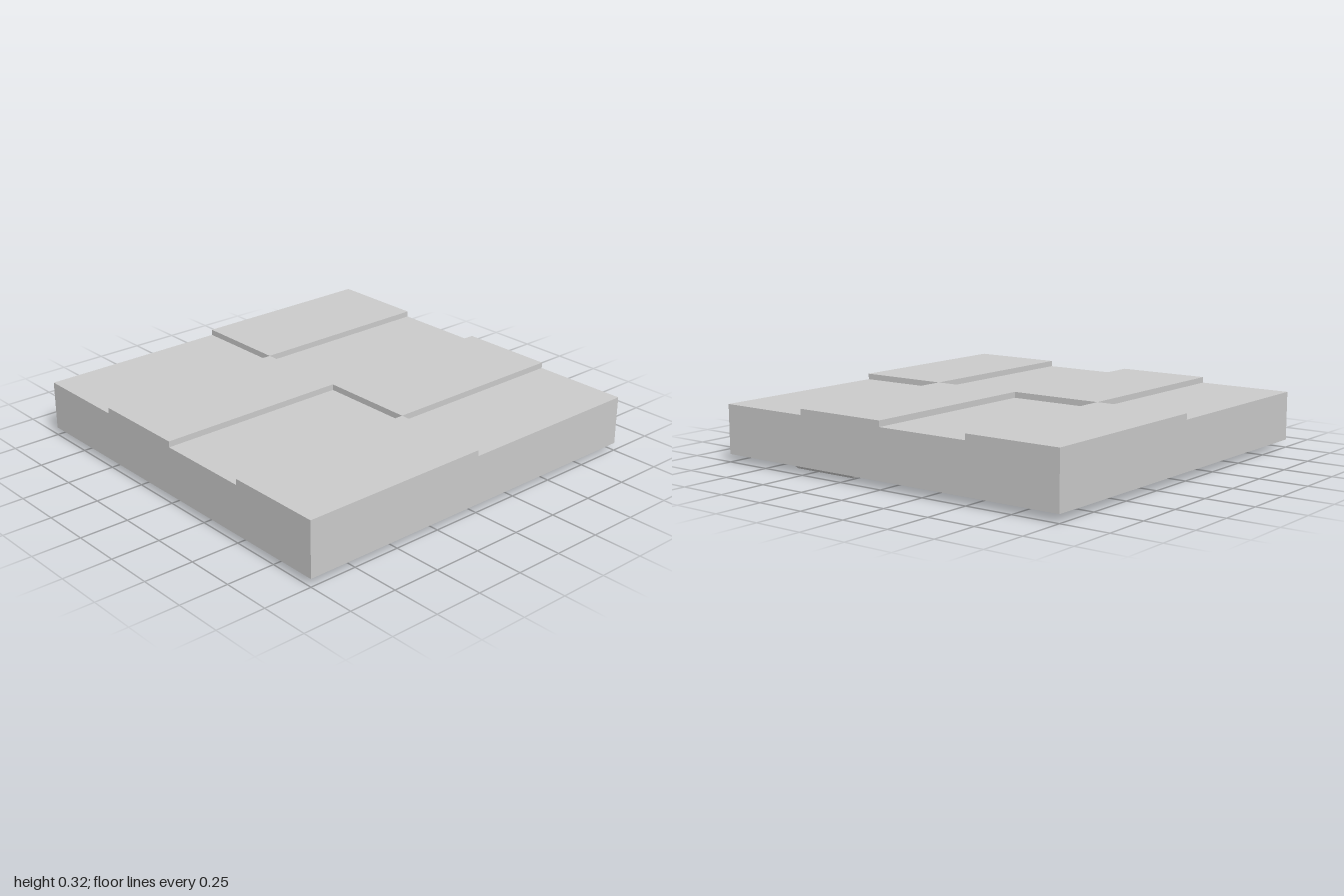
import * as THREE from 'three';

const BOTTOM = 0.04, RECESS = 0.08, LOW = 0.29, HIGH = 0.32;

const material = new THREE.MeshStandardMaterial({ color: 0xcccccc, flatShading: true });

function part(name, geometry) {
  const mesh = new THREE.Mesh(geometry, material);
  mesh.name = name;
  return mesh;
}

// Rectangle in the ground plane, as a shape or a hole
function rect(Type, x0, x1, z0, z1) {
  const r = new Type();
  r.moveTo(x0, z0);
  r.lineTo(x1, z0);
  r.lineTo(x1, z1);
  r.lineTo(x0, z1);
  r.closePath();
  return r;
}

// One half of the slab: four plank rows of alternating height, extruded along x
function slabHalf(name, right, firstIsHigh) {
  const shape = new THREE.Shape();
  shape.moveTo(-1, RECESS);
  shape.lineTo(1, RECESS);
  for (let row = 3; row >= 0; row--) {
    const y = (row % 2 === 0) === firstIsHigh ? HIGH : LOW;
    const z = -1 + row * 0.5;
    shape.lineTo(z + 0.5, y);
    shape.lineTo(z, y);
  }
  shape.closePath();
  const g = new THREE.ExtrudeGeometry(shape, { depth: 1, bevelEnabled: false });
  g.rotateY(-Math.PI / 2);
  g.translate(right, 0, 0);
  return part(name, g);
}

// Bottom layer with two rectangular sunken panels, one running out to the corner
function underside() {
  const shape = rect(THREE.Shape, -1, 1, -1, 1);
  shape.holes.push(
    rect(THREE.Path, -0.97, 0.17, -0.41, 0.12),
    rect(THREE.Path, 0.2, 0.998, -0.998, -0.45)
  );
  const g = new THREE.ExtrudeGeometry(shape, { depth: RECESS - BOTTOM, bevelEnabled: false });
  g.rotateX(Math.PI / 2);
  g.translate(0, RECESS, 0);
  return part('underside', g);
}

// Raised panel under the slab, tapering towards the ground
function raisedPanel() {
  const g = new THREE.BoxGeometry(1.1, BOTTOM, 0.43);
  g.translate(0.38, BOTTOM / 2, 0.455);
  const p = g.attributes.position;
  for (let i = 0; i < p.count; i++) {
    if (p.getY(i) > 0.01) continue;
    p.setX(i, p.getX(i) > 0.38 ? 0.9 : -0.14);
    p.setZ(i, p.getZ(i) > 0.455 ? 0.63 : 0.26);
  }
  g.computeVertexNormals();
  return part('raisedPanel', g);
}

export function createModel() {
  const group = new THREE.Group();
  group.name = 'plankFloorTile';
  group.add(
    slabHalf('rightPlanks', 0, false),
    slabHalf('leftPlanks', 1, true),
    underside(),
    raisedPanel()
  );
  return group;
}
